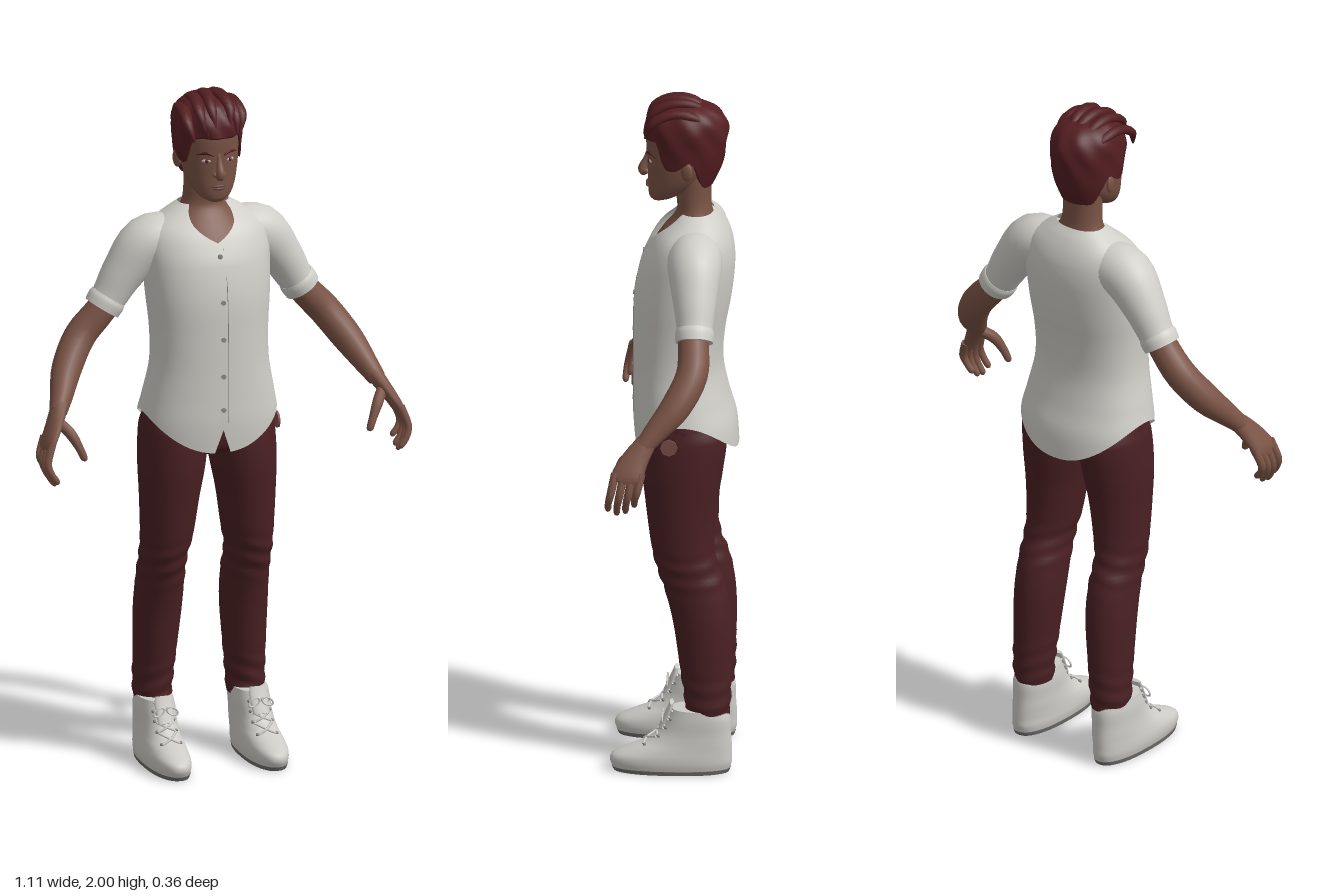
import * as THREE from 'three';

const mat = (name, color, side = THREE.FrontSide) => {
  const m = new THREE.MeshStandardMaterial({ color, side });
  m.name = name;
  return m;
};

// Smooth interpolation through rows keyed by their first column
function at(rows, y) {
  const last = rows.length - 1;
  let i = 0;
  while (i < last - 1 && y > rows[i + 1][0]) i++;
  const a = rows[i], b = rows[i + 1], h = b[0] - a[0];
  const t = THREE.MathUtils.clamp((y - a[0]) / h, 0, 1), t2 = t * t, t3 = t2 * t;
  const slope = (j, c) => {
    const lo = rows[Math.max(j - 1, 0)], hi = rows[Math.min(j + 1, last)];
    return (hi[c] - lo[c]) / (hi[0] - lo[0]);
  };
  return a.map((_, c) => c === 0 ? y :
    (2 * t3 - 3 * t2 + 1) * a[c] + (t3 - 2 * t2 + t) * h * slope(i, c) +
    (3 * t2 - 2 * t3) * b[c] + (t3 - t2) * h * slope(i + 1, c));
}

// Closed rings joined into a skin; fn(angle, row 0..m) gives a Vector3
function skinRings(fn, n, m, cap) {
  const pos = [], idx = [];
  for (let j = 0; j <= m; j++)
    for (let i = 0; i < n; i++) pos.push(...fn(i / n * Math.PI * 2, j).toArray());
  for (let j = 0; j < m; j++)
    for (let i = 0; i < n; i++) {
      const a = j * n + i, b = j * n + (i + 1) % n;
      idx.push(a, b, a + n, b, b + n, a + n);
    }
  if (cap) for (const j of [0, m]) {
    const base = pos.length / 3, c = new THREE.Vector3();
    for (let i = 0; i < n; i++) {
      const p = fn(i / n * Math.PI * 2, j);
      c.addScaledVector(p, 1 / n);
      pos.push(...p.toArray());
    }
    pos.push(...c.toArray());
    for (let i = 0; i < n; i++) {
      const a = base + i, b = base + (i + 1) % n;
      j ? idx.push(a, b, base + n) : idx.push(b, a, base + n);
    }
  }
  const g = new THREE.BufferGeometry();
  g.setAttribute('position', new THREE.Float32BufferAttribute(pos, 3));
  g.setIndex(idx);
  g.computeVertexNormals();
  return g;
}

// Upright body from rows [y, centre x, half width, z front, z back]
function body(rows, { n = 32, k = 4, p = 2, cap = true, yFn = y => y, ripple = () => 1 } = {}) {
  const pw = v => Math.sign(v) * Math.abs(v) ** (2 / p);
  return skinRings((a, j) => {
    const i = Math.min(Math.floor(j / k), rows.length - 2), f = j / k - i;
    const y = yFn(rows[i][0] + f * (rows[i + 1][0] - rows[i][0]), a);
    const [, cx, rx, zf, zb] = at(rows, y), r = ripple(y, a);
    return new THREE.Vector3(cx + rx * r * pw(Math.sin(a)), y, (zf + zb) / 2 + (zf - zb) / 2 * r * pw(Math.cos(a)));
  }, n, k * (rows.length - 1), cap);
}

// Limb along rows [x, y, z, radius towards ref, other radius]
function limb(points, { n = 14, k = 4, ref = [0, 0, 1] } = {}) {
  const rows = points.map(([x, y, z, r, q = r], i) => [i, x, y, z, r, q]);
  const P = t => new THREE.Vector3(...at(rows, t).slice(1, 4));
  return skinRings((a, j) => {
    const t = j / k, [, , , , r, q] = at(rows, t);
    const tan = P(Math.min(t + 0.05, rows.length - 1)).sub(P(Math.max(t - 0.05, 0))).normalize();
    const u = new THREE.Vector3(...ref);
    u.addScaledVector(tan, -u.dot(tan)).normalize();
    const w = tan.clone().cross(u);
    return P(t).addScaledVector(u, r * Math.cos(a)).addScaledVector(w, q * Math.sin(a));
  }, n, k * (rows.length - 1), true);
}

function blob(x, y, z, rx, ry, rz, ryaw = 0) {
  return new THREE.SphereGeometry(1, 16, 10).scale(rx, ry, rz).rotateY(ryaw).translate(x, y, z);
}

function mirrored(geo) {
  const g = geo.clone().scale(-1, 1, 1), ix = g.index.array;
  for (let i = 0; i < ix.length; i += 3) [ix[i], ix[i + 1]] = [ix[i + 1], ix[i]];
  return g;
}

export function createModel() {
  const model = new THREE.Group();
  model.name = 'standingMan';
  const skin = mat('skin', 0x7a5345), lip = mat('lips', 0x64403a), eyeWhite = mat('eye white', 0xb5aaa2);
  const hairM = mat('hair', 0x541e21, THREE.DoubleSide), cloth = mat('trousers', 0x4a2023);
  const shirtM = mat('shirt', 0xcfcec8, THREE.DoubleSide), shoeM = mat('shoe', 0xcdcbc6);
  const soleM = mat('sole', 0x6e6d6a), trim = mat('trim', 0x8a8883), patchM = mat('patch', 0x7c4d49);
  const add = (name, geo, m) => {
    const mesh = new THREE.Mesh(geo, m);
    mesh.name = name;
    model.add(mesh);
  };
  const pair = (name, geo, m) => {
    add('left' + name, geo, m);
    add('right' + name, mirrored(geo), m);
  };
  const fromFront = a => Math.min(a, Math.PI * 2 - a);

  // Shirt with curved tails, front notch and V neck
  const torso = [[.94, 0, .205, .112, -.182], [1.03, 0, .205, .12, -.175], [1.1, 0, .192, .12, -.155],
    [1.2, 0, .173, .12, -.136], [1.3, 0, .172, .12, -.142], [1.4, 0, .18, .118, -.16], [1.5, 0, .185, .1, -.17],
    [1.56, 0, .183, .075, -.165], [1.6, 0, .165, .05, -.152], [1.635, 0, .115, .015, -.132], [1.66, 0, .075, -.01, -.11]];
  add('shirt', body(torso, {
    n: 72, p: 2.25, cap: false,
    yFn: (y, a) => {
      const d = fromFront(a);
      const hem = .95 + .11 * Math.sin(a) ** 2 + .07 * Math.max(0, 1 - d / .08);
      const neck = 1.66 - .095 * Math.max(0, 1 - d / .75);
      if (y < 1.2) return hem + (y - .94) / .26 * (1.2 - hem);
      return y > 1.5 ? 1.5 + (y - 1.5) / .16 * (neck - 1.5) : y;
    },
  }), shirtM);
  pair('Sleeve', limb([[.09, 1.555, -.06, .075], [.17, 1.545, -.062, .078], [.235, 1.47, -.066, .064, .063],
    [.275, 1.405, -.068, .053], [.3, 1.367, -.068, .049]], { n: 28 }), shirtM);
  pair('Cuff', limb([[.282, 1.395, -.068, .053], [.29, 1.383, -.068, .056], [.303, 1.363, -.068, .054]], { n: 28 }), shirtM);
  for (const y of [1.53, 1.4, 1.29, 1.18, 1.08])
    add('button', new THREE.CylinderGeometry(.007, .007, .005, 12).rotateX(Math.PI / 2)
      .translate(0, y, at(torso, y)[3] + .001), trim);
  add('placketSeam', limb([1.04, 1.15, 1.25, 1.35, 1.45, 1.55].map(y => [.014, y, at(torso, y)[3] - .002, .003, .0015]), { n: 6 }), trim);

  // Neck, with the chest showing in the V
  add('neck', body([[1.52, 0, .15, .083, -.15], [1.56, 0, .14, .062, -.14], [1.6, 0, .115, .036, -.13],
    [1.635, 0, .082, .008, -.115], [1.66, 0, .066, -.004, -.105], [1.7, 0, .06, -.002, -.102], [1.77, 0, .06, 0, -.105]]), skin);

  // Head and ears
  const head = [[1.688, 0, .02, .066, .03], [1.7, 0, .042, .075, 0], [1.73, 0, .063, .079, -.05], [1.77, 0, .076, .08, -.09],
    [1.83, 0, .084, .082, -.112], [1.89, 0, .085, .084, -.125], [1.94, 0, .07, .065, -.11], [1.97, 0, .03, .02, -.07]];
  const faceZ = (x, y) => {
    const [, , rx, zf, zb] = at(head, y);
    return (zf + zb) / 2 + (zf - zb) / 2 * Math.sqrt(1 - (x / rx) ** 2);
  };
  add('head', body(head, { p: 2.15 }), skin);
  pair('Ear', blob(.087, 1.8, -.035, .009, .028, .018, -.3), skin);

  // Face details
  add('nose', limb([[0, 1.838, .076, .006], [0, 1.81, .084, .008], [0, 1.782, .094, .013], [0, 1.77, .09, .014], [0, 1.764, .082, .006]]), skin);
  pair('Nostril', blob(.012, 1.774, .083, .009, .008, .01), skin);
  pair('Eye', blob(.036, 1.815, faceZ(.036, 1.815), .014, .0055, .004, .4), eyeWhite);
  pair('Iris', blob(.035, 1.815, faceZ(.035, 1.815) + .002, .0055, .0055, .004, .4), hairM);
  pair('Eyebrow', limb([[.015, 1.831, .002], [.035, 1.839, .005], [.06, 1.833, .001]].map(
    ([x, y, r]) => [x, y, faceZ(x, y) + .001, .004, r])), hairM);
  add('upperLip', blob(0, 1.739, .079, .022, .0045, .006), lip);
  add('lowerLip', blob(0, 1.731, .079, .018, .005, .006), lip);

  // Hair cap with a cut hairline, and swept locks on top
  const sm = THREE.MathUtils.smoothstep;
  add('hair', body([[1.74, 0, .078, .06, -.108], [1.8, 0, .092, .084, -.135], [1.87, 0, .098, .092, -.148],
    [1.92, 0, .097, .09, -.148], [1.955, 0, .083, .07, -.128], [1.978, 0, .055, .04, -.09], [1.988, 0, .008, -.02, -.04]], {
    n: 64, cap: true,
    yFn: (y, a) => {
      const d = fromFront(a);
      const hem = 1.885 - .085 * sm(d, .75, 1.15) - .06 * sm(d, 1.7, 2.4) + .03 * Math.exp(-(((d - 1.75) / .25) ** 2));
      return y < 1.92 ? hem + (y - 1.74) / .18 * (1.92 - hem) : y;
    },
    ripple: (y, a) => 1 + sm(y, 1.78, 1.9) * (.022 * Math.sin(9 * a + y * 55) + .016 * Math.sin(5 * a - y * 40)),
  }), hairM);
  for (let i = 0; i < 9; i++) {
    const x = (i - 4) * .018, lift = 1.978 - Math.abs(x) * .4 + (i % 3) * .006, s = i % 2 ? .014 : -.01;
    add('hairLock', limb([[x * .8, lift - .03, -.1, .006], [x + s * .5, lift, -.05, .018, .012], [x + s, lift + .004, .01, .019, .013],
      [x + s * 1.5, lift - .022, .062, .015, .012], [x * .9 + s, lift - .07, .085, .003]], { n: 8, ref: [1, 0, 0] }), hairM);
  }

  // Arms, palms, fingers and thumbs
  pair('Arm', limb([[.25, 1.44, -.066, .044], [.305, 1.36, -.066, .044], [.37, 1.288, -.064, .046], [.425, 1.21, -.02, .044],
    [.462, 1.145, .038, .033], [.482, 1.11, .068, .026]], { n: 20 }), skin);
  pair('Palm', limb([[.468, 1.135, .05, .026, .025], [.502, 1.08, .09, .038, .02], [.528, 1.035, .113, .045, .016],
    [.535, 1.015, .12, .036, .011]]), skin);
  for (let i = 0; i < 4; i++) {
    const z = .153 - i * .025, len = [.9, 1, .95, .78][i];
    pair('Finger', limb([[.526, 1.045, z - .006, .012], [.544, 1.035 - .05 * len, z + .006, .0115],
      [.537, 1.035 - .085 * len, z + .013, .01], [.52, 1.035 - .112 * len, z + .015, .009], [.514, 1.035 - .118 * len, z + .015, .003]], { n: 8 }), skin);
  }
  pair('Thumb', limb([[.492, 1.09, .09, .016], [.465, 1.06, .125, .016], [.444, 1.02, .143, .012], [.432, .99, .15, .01], [.43, .982, .151, .003]], { n: 10 }), skin);

  // Trousers: seat and creased legs
  add('trouserSeat', body([[.93, 0, .13, .05, -.12], [.955, 0, .18, .083, -.148], [1.02, 0, .193, .09, -.155], [1.1, 0, .178, .09, -.132]]), cloth);
  pair('TrouserLeg', body([[.165, .14, .053, -.03, -.16], [.21, .14, .056, -.033, -.164], [.3, .136, .06, -.02, -.167],
    [.45, .13, .068, .002, -.167], [.55, .128, .067, .027, -.152], [.62, .128, .067, .05, -.126], [.68, .122, .074, .064, -.117],
    [.8, .115, .085, .08, -.124], [.9, .107, .096, .09, -.14], [1, .1, .098, .086, -.15], [1.04, .1, .09, .07, -.13]], {
    n: 36, k: 7,
    ripple: (y, a) => 1 + (.04 * Math.exp(-(((y - .23) / .07) ** 2)) + .035 * Math.exp(-(((y - .6) / .06) ** 2))) * Math.sin(y * 120 + 2.5 * Math.sin(a)),
  }), cloth);
  add('sidePatch', new THREE.CylinderGeometry(.025, .025, .006, 8).rotateZ(Math.PI / 2).translate(.199, 1, .01), patchM);

  // Shoes, soles and laces
  const shoe = [[.01, .147, .056, .172, -.162], [.03, .147, .06, .181, -.168], [.05, .147, .06, .172, -.168], [.07, .146, .058, .13, -.168],
    [.09, .145, .056, .08, -.167], [.12, .144, .054, .042, -.165], [.16, .143, .054, .018, -.164], [.19, .143, .05, .004, -.155]];
  pair('Shoe', body(shoe, { p: 2.3, n: 36 }), shoeM);
  pair('Sole', body([[0, .147, .056, .17, -.16], [.012, .147, .058, .176, -.165]], { p: 2.3, n: 36, k: 1 }), soleM);
  pair('ShoeTongue', limb([[.144, .13, .035, .008, .024], [.143, .18, .012, .008, .028], [.143, .205, .004, .006, .024]]), shoeM);
  for (let i = 0; i < 4; i++) {
    const y = .085 + i * .026;
    for (const s of [-1, 1]) {
      const z0 = at(shoe, y)[3], z1 = at(shoe, y + .024)[3];
      pair('Lace', limb([[.145 - s * .026, y, z0 - .006, .0035], [.145, y + .012, (z0 + z1) / 2 + .004, .0035],
        [.145 + s * .026, y + .024, z1 - .004, .0035]], { n: 6 }), shoeM);
      pair('Eyelet', blob(.145 + s * .029, y, z0 - .01, .005, .005, .005), trim);
    }
  }
  for (const s of [-1, 1])
    pair('LaceLoop', new THREE.TorusGeometry(.015, .003, 6, 16).scale(1.2, .7, 1).rotateZ(s * -.5).translate(.144 + s * .02, .165, .03), shoeM);

  return model;
}
